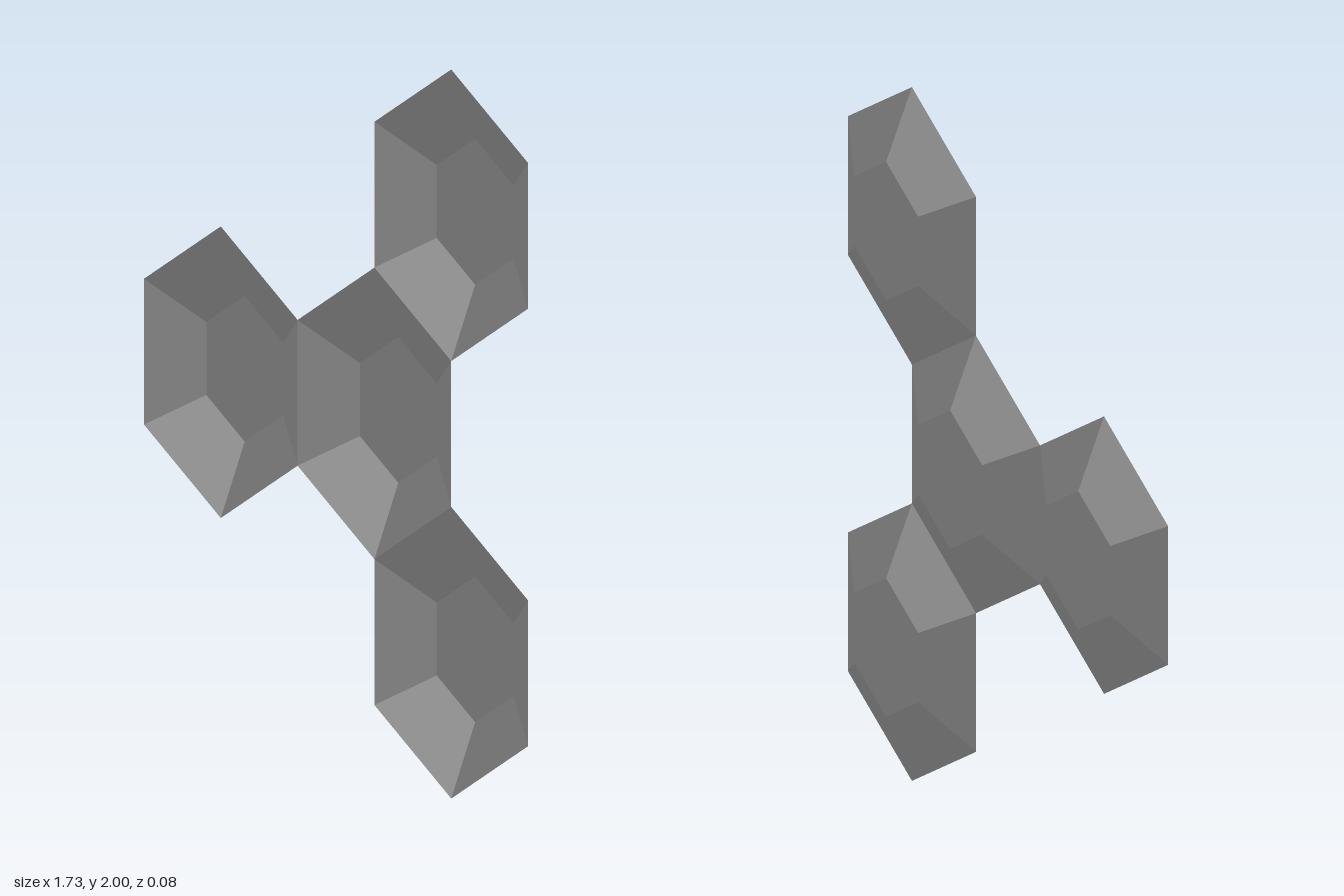
import * as THREE from 'three';

const R = 0.4;                       // rim radius of a cell
const FLOOR = 0.2;                   // floor radius
const DEPTH = 0.08;
const APOTHEM = R * Math.cos(Math.PI / 6);

// Shallow six-sided dish, open towards +z
function createCell(name, material) {
  const cell = new THREE.Group();
  cell.name = name;

  const walls = new THREE.Mesh(
    new THREE.CylinderGeometry(R, FLOOR, DEPTH, 6, 1, true).rotateX(Math.PI / 2), material);
  walls.name = 'slopedWalls';

  const floor = new THREE.Mesh(new THREE.CircleGeometry(FLOOR, 6, Math.PI / 2), material);
  floor.name = 'floor';
  floor.position.z = -DEPTH / 2;

  cell.add(walls, floor);
  return cell;
}

export function createModel() {
  const group = new THREE.Group();
  group.name = 'hexagonCluster';
  const material = new THREE.MeshStandardMaterial({
    color: 0xcccccc, flatShading: true, side: THREE.DoubleSide,
  });

  // Central cell
  const cx = APOTHEM / 2, cy = 1;
  const center = createCell('centerCell', material);
  center.position.set(cx, cy, 0);
  group.add(center);

  // Three cells sharing alternate edges with the centre
  ['upperCell', 'sideCell', 'lowerCell'].forEach((name, i) => {
    const a = Math.PI / 3 + i * 2 * Math.PI / 3;
    const cell = createCell(name, material);
    cell.position.set(cx + 2 * APOTHEM * Math.cos(a), cy + 2 * APOTHEM * Math.sin(a), 0);
    group.add(cell);
  });
  return group;
}
